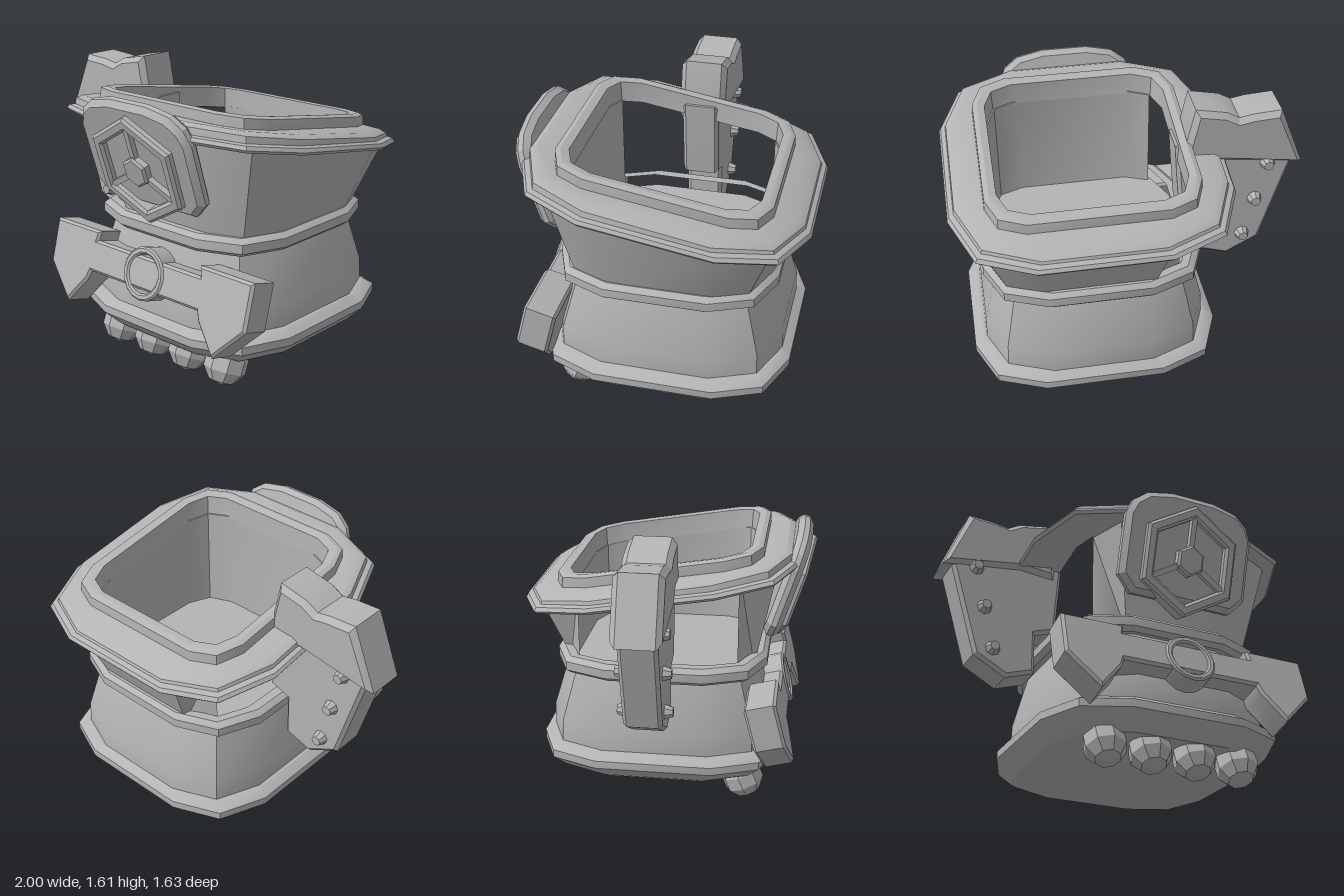
import * as THREE from 'three';
import { toCreasedNormals } from 'three/addons/utils/BufferGeometryUtils.js';

const CX = 0.22; // centre line of the vessel
const SLOPE = 0.165; // tilt of the rim towards the back
const grey = new THREE.MeshStandardMaterial({ color: 0xb4b4b4 });
grey.name = 'stone grey';

function add(parent, name, geometry, x = 0, y = 0, z = 0) {
  const mesh = new THREE.Mesh(geometry, grey);
  mesh.name = name;
  mesh.position.set(x, y, z);
  parent.add(mesh);
  return mesh;
}

// Rounded square seen from above, two facets per corner, starting at the front left;
// pinch folds the left corners back onto the front and back faces
function outline({ y, hx, hz, c, cz = -0.04, slope = 0, pinch = false }) {
  const fx = hx - c, fz = hz - c, mx = hx - 0.29 * c, mz = hz - 0.29 * c;
  const pts = [
    [-fx, hz], [fx, hz], [mx, mz], [hx, fz], [hx, -fz], [mx, -mz],
    [fx, -hz], [-fx, -hz], [-mx, -mz], [-hx, -fz], [-hx, fz], [-mx, mz],
  ].map(([x, z]) => [x, y + slope * (z + cz), z + cz]);
  if (pinch) {
    pts[8] = pts[7];
    pts[11] = pts[0];
  }
  return pts;
}

// Skin a list of outlines; open leaves out the left side and closes the two free ends
function loft(sections, { open = false, capBottom = false, capTop = false, loop = false } = {}) {
  const rings = sections.map(outline);
  if (loop) rings.push(rings[0]);
  const pos = [];
  const tri = (...p) => p.forEach((v) => pos.push(...v));
  for (let r = 0; r < rings.length - 1; r++) {
    for (let i = 0; i < 12; i++) {
      if (open && i >= 8 && i <= 10) continue;
      const j = (i + 1) % 12, lo = rings[r], hi = rings[r + 1];
      tri(lo[i], lo[j], hi[j]);
      tri(lo[i], hi[j], hi[i]);
    }
  }
  const last = rings[rings.length - 1];
  for (let i = 1; i < 11; i++) {
    if (capBottom) tri(rings[0][0], rings[0][i + 1], rings[0][i]);
    if (capTop) tri(last[0], last[i], last[i + 1]);
  }
  if (open) {
    const [a, b, c, d] = rings;
    tri(a[11], b[11], c[11]);
    tri(a[11], c[11], d[11]);
    tri(a[8], c[8], b[8]);
    tri(a[8], d[8], c[8]);
  }
  const g = new THREE.BufferGeometry();
  g.setAttribute('position', new THREE.Float32BufferAttribute(pos, 3));
  return toCreasedNormals(g, 0.55);
}

const toShape = (pts) => new THREE.Shape(pts.map(([x, y]) => new THREE.Vector2(x, y)));
const polygon = (r, n) => Array.from({ length: n }, (_, i) => {
  const a = Math.PI / 2 + (i / n) * Math.PI * 2;
  return [r * Math.cos(a), r * Math.sin(a)];
});
const mirrored = (half) => half.concat(half.map(([x, y]) => [-x, y]).reverse());

// Bevelled plate centred on z = 0
function slab(pts, depth, bevel, hole) {
  const shape = toShape(pts);
  if (hole) shape.holes.push(toShape(hole));
  const g = new THREE.ExtrudeGeometry(shape, {
    depth: depth - 2 * bevel, bevelSize: bevel,
    bevelThickness: bevel, bevelOffset: -bevel, bevelSegments: 1, curveSegments: 1,
  });
  g.translate(0, 0, -(depth - 2 * bevel) / 2);
  return toCreasedNormals(g, 0.4);
}

function buildVessel() {
  const g = new THREE.Group();
  g.name = 'vessel';
  g.position.x = CX;
  // Base band with the underside
  add(g, 'baseBand', loft([
    { y: 0.17, hx: 0.6, hz: 0.6, c: 0.33 },
    { y: 0.195, hx: 0.635, hz: 0.63, c: 0.34 },
    { y: 0.265, hx: 0.7, hz: 0.7, c: 0.37 },
    { y: 0.31, hx: 0.7, hz: 0.7, c: 0.37 },
    { y: 0.345, hx: 0.65, hz: 0.65, c: 0.35 },
    { y: 0.345, hx: 0.62, hz: 0.63, c: 0.34 },
  ], { capBottom: true }));
  add(g, 'lowerWall', loft([
    { y: 0.34, hx: 0.63, hz: 0.65, c: 0.35 },
    { y: 0.47, hx: 0.625, hz: 0.645, c: 0.35 },
    { y: 0.77, hx: 0.55, hz: 0.555, c: 0.3 },
  ]));
  add(g, 'waistBand', loft([
    { y: 0.76, hx: 0.54, hz: 0.54, c: 0.3 },
    { y: 0.76, hx: 0.585, hz: 0.585, c: 0.32 },
    { y: 0.785, hx: 0.615, hz: 0.61, c: 0.33 },
    { y: 0.835, hx: 0.615, hz: 0.61, c: 0.33 },
    { y: 0.86, hx: 0.585, hz: 0.585, c: 0.32 },
    { y: 0.86, hx: 0.53, hz: 0.525, c: 0.24 },
  ]));
  add(g, 'innerFloor', loft([{ y: 0.78, hx: 0.55, hz: 0.55, c: 0.28 }], { capTop: true }));
  // Upper wall, flared outside and upright inside, open behind the handle
  add(g, 'upperWall', loft([
    { y: 0.78, hx: 0.55, hz: 0.535, c: 0.26, pinch: true },
    { y: 1.3, hx: 0.715, hz: 0.68, c: 0.34, cz: -0.06, slope: SLOPE, pinch: true },
    { y: 1.32, hx: 0.508, hz: 0.505, c: 0.19, slope: SLOPE },
    { y: 0.78, hx: 0.508, hz: 0.505, c: 0.19 },
  ], { open: true }));
  // Sloping rim with a stepped middle tier and a raised lip
  add(g, 'rim', loft([
    [1.28, 0.72, 0.4], [1.275, 0.765, 0.42], [1.29, 0.775, 0.42], [1.31, 0.765, 0.42],
    [1.318, 0.74, 0.41], [1.345, 0.735, 0.41, 0.18], [1.365, 0.7, 0.39, 0.18],
    [1.37, 0.58, 0.2], [1.425, 0.577, 0.2], [1.437, 0.55, 0.18],
    [1.43, 0.51, 0.16], [1.31, 0.505, 0.16],
  ].map(([y, h, c, slope = SLOPE]) => ({ y, hx: h, hz: h - 0.003, c, slope })), { loop: true }));
  return g;
}

// Leaning plate on the front with a hexagonal frame
function buildBadge() {
  const g = new THREE.Group();
  g.name = 'frontBadge';
  g.position.set(CX, 1.21, 0.65);
  g.rotation.x = 0.31;
  const half = [[0.31, -0.25], [0.395, -0.16], [0.395, 0.19], [0.36, 0.27], [0.28, 0.33], [0.13, 0.36]];
  add(g, 'badgePlate', slab(mirrored(half), 0.09, 0.03));
  add(g, 'hexFrame', slab(polygon(0.32, 6), 0.11, 0.015, polygon(0.245, 6)), 0, -0.015, 0.03);
  for (let i = 0; i < 3; i++) {
    const a = Math.PI / 2 + (i * Math.PI * 2) / 3;
    const spoke = add(g, 'hexSpoke', new THREE.BoxGeometry(0.2, 0.032, 0.05),
      0.15 * Math.cos(a), 0.15 * Math.sin(a) - 0.015, 0.05);
    spoke.rotation.z = a;
  }
  add(g, 'hexHub', slab(polygon(0.09, 6), 0.07, 0.012), 0, -0.015, 0.055);
  return g;
}

// Leaning bar with two pointed ends and a ring around its middle
function buildGuard() {
  const g = new THREE.Group();
  g.name = 'frontGuard';
  g.position.set(CX, 0.515, 0.605);
  g.rotation.x = -0.26;
  const half = [[0.4, -0.03], [0.42, -0.08], [0.55, -0.24], [0.735, -0.05], [0.735, 0.205], [0.375, 0.205], [0.385, 0.15]];
  add(g, 'guardBar', slab(mirrored(half), 0.18, 0.015));
  add(g, 'guardRing', slab(polygon(0.148, 16), 0.19, 0.01, polygon(0.108, 16)), 0, 0.06, 0.005);
  return g;
}

function buildHandle() {
  const g = new THREE.Group();
  g.name = 'handle';
  g.position.z = -0.04;
  add(g, 'handleBlade', slab([
    [-0.95, 1.24], [-0.79, 0.69], [-0.6, 0.585], [-0.43, 0.64], [-0.43, 0.88],
    [-0.31, 0.92], [-0.285, 1.2], [-0.272, 1.38], [-0.85, 1.4],
  ], 0.21, 0.02));
  add(g, 'handleCap', slab([
    [-1, 1.21], [-0.54, 1.27], [-0.33, 1.25], [-0.32, 1.35], [-0.375, 1.61],
    [-0.55, 1.575], [-0.62, 1.535], [-0.7, 1.55], [-0.86, 1.56],
  ], 0.265, 0.03));
  // Bolts on both faces
  for (const [x, y] of [[-0.8, 1.225], [-0.742, 0.985], [-0.683, 0.74]]) {
    for (const side of [-1, 1]) {
      const bolt = new THREE.CylinderGeometry(0.028, 0.045, 0.05, 8);
      bolt.rotateX((side * Math.PI) / 2);
      add(g, 'bolt', toCreasedNormals(bolt, 0.4), x, y, side * 0.125);
    }
  }
  return g;
}

export function createModel() {
  const model = new THREE.Group();
  model.name = 'vesselWithHandle';
  model.add(buildVessel(), buildBadge(), buildGuard(), buildHandle());
  // Row of faceted toe knobs under the front edge
  for (let i = 0; i < 4; i++) {
    const knob = toCreasedNormals(new THREE.SphereGeometry(0.123, 8, 5), 0.4);
    knob.rotateX(-0.4);
    add(model, 'toeKnob', knob, -0.18 + i * 0.265, 0.121, 0.45);
  }
  return model;
}
